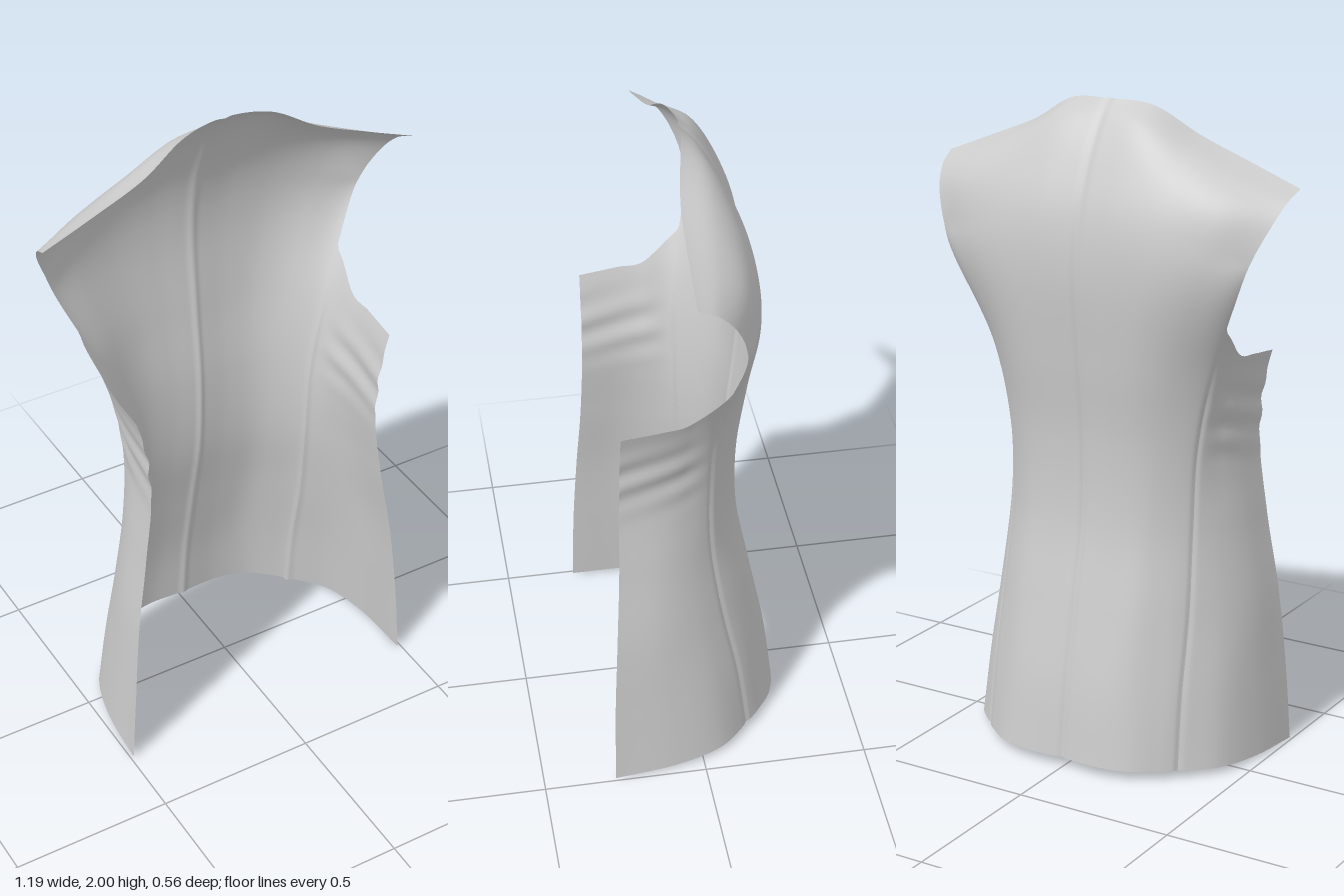
import * as THREE from 'three';

// Half cross-sections (x, z pairs) every 0.25 in height:
// centre back, three back points, side seam, three side panel points
const SECTIONS = [
  [0, -.275, .12, -.278, .22, -.255, .29, -.207, .34, -.16, .43, -.06, .475, .09, .49, .28],
  [0, -.25, .11, -.25, .2, -.23, .28, -.18, .335, -.13, .415, -.03, .455, .1, .472, .275],
  [0, -.203, .11, -.2, .2, -.183, .275, -.135, .33, -.08, .395, .01, .435, .12, .448, .262],
  [0, -.155, .1, -.156, .19, -.14, .26, -.1, .32, -.045, .37, .03, .4, .12, .41, .247],
  [0, -.147, .1, -.15, .19, -.137, .265, -.1, .33, -.04, .362, .04, .378, .12, .385, .24],
  [0, -.17, .11, -.175, .21, -.165, .3, -.125, .385, -.05, .41, .04, .42, .12, .422, .237],
  [0, -.19, .13, -.195, .26, -.188, .38, -.155, .487, -.1, .52, 0, .53, .1, .53, .23],
];
// Shoulder rows (x, y, z) from centre back to armhole, ending in the shoulder seam
const SHOULDER = [
  [0, 1.68, -.172, .14, 1.675, -.18, .28, 1.66, -.173, .41, 1.63, -.145, .525, 1.6, -.095],
  [0, 1.83, -.118, .145, 1.825, -.125, .29, 1.785, -.125, .43, 1.735, -.11, .563, 1.69, -.06],
  [0, 1.94, -.055, .14, 1.935, -.06, .29, 1.87, -.05, .44, 1.805, -.04, .585, 1.752, -.01],
  [0, 2, -.003, .14, 1.988, .02, .28, 1.912, .043, .44, 1.848, .05, .597, 1.787, .052],
];
const ARMHOLE = [[1.38], [1.285], [1.27], [1.255]]; // top of the side panel

const ROWS = SECTIONS.map((s, r) => {
  const row = [];
  for (let i = 0; i < s.length; i += 2) {
    const hem = r === 0 ? .018 - .055 * s[i + 1] : 0; // hem rises slightly to the back
    row.push([s[i], r * .25 + hem, s[i + 1]]);
  }
  return row;
}).concat(SHOULDER.map((s) => {
  const row = [];
  for (let i = 0; i < s.length; i += 3) row.push(s.slice(i, i + 3));
  return row;
}));

// Smooth curve through a list of points, with extrapolated ends
function spline(pts, t, before) {
  const n = pts.length - 1;
  const i = Math.max(0, Math.min(n - 1, Math.floor(t)));
  const f = t - i;
  const b = pts[i], c = pts[i + 1];
  const a = i > 0 ? pts[i - 1] : before || b.map((v, k) => 2 * v - c[k]);
  const d = i + 2 <= n ? pts[i + 2] : c.map((v, k) => 2 * v - b[k]);
  return b.map((v, k) => v + .5 * f * (c[k] - a[k] +
    f * (2 * a[k] - 5 * v + 4 * c[k] - d[k] + f * (3 * (v - c[k]) + d[k] - a[k]))));
}

const bell = (d, w) => Math.exp(-(d * d) / (w * w));

// Point on the garment: u runs across (0 centre, 4 side seam, 7 front edge), t runs up
function surface(u, t, inset = 0) {
  const a = Math.abs(u), side = u < 0 ? -1 : 1;
  const rows = a > 4 ? ROWS.slice(0, SECTIONS.length) : ROWS;
  const p = spline(rows.map((row) => {
    const q = row[1];
    return spline(row, a, [-q[0], q[1], q[2]]);
  }), t);
  // pressed-in centre and side seams
  p[2] += .006 * bell(a, .1);
  const seam = .005 * bell(a - 4, .1) * THREE.MathUtils.smoothstep(5.4 - t, 0, 1) + inset;
  p[0] -= .6 * seam;
  p[2] += .8 * seam;
  // diagonal folds under the arm
  if (a > 4) {
    const fade = THREE.MathUtils.smoothstep(a, 4, 5.2) * bell(p[1] - 1.08, .1);
    p[0] += .005 * fade * Math.sin((p[1] + .3 * p[2] - 1.1) * 60);
  }
  return [p[0] * side, p[1], p[2]];
}

// Grid sheet between u0 and u1, up to a given height parameter
function sheet(name, u0, u1, nu, nt, top, inset) {
  const pos = [], index = [];
  for (let j = 0; j <= nt; j++) {
    for (let i = 0; i <= nu; i++) {
      const u = u0 + (u1 - u0) * i / nu;
      pos.push(...surface(u, top(Math.abs(u)) * j / nt, inset));
      if (i < nu && j < nt) {
        const k = j * (nu + 1) + i, m = k + nu + 1;
        index.push(k, m, k + 1, k + 1, m, m + 1);
      }
    }
  }
  const geo = new THREE.BufferGeometry();
  geo.setAttribute('position', new THREE.Float32BufferAttribute(pos, 3));
  geo.setIndex(index);
  geo.computeVertexNormals();
  const mesh = new THREE.Mesh(geo, new THREE.MeshStandardMaterial({ color: 0xcccccc, side: THREE.DoubleSide }));
  mesh.name = name;
  return mesh;
}

export function createModel() {
  const group = new THREE.Group();
  group.name = 'jacketBack';
  group.add(sheet('backPanel', -4, 4, 160, 80, () => 10));
  const sideTop = (a) => spline(ARMHOLE, a - 4)[0] / .25;
  // side panels and the narrow underlaps of the hem vents
  group.add(sheet('leftSidePanel', 4, 7, 48, 80, sideTop));
  group.add(sheet('rightSidePanel', -7, -4, 48, 80, sideTop));
  const ventTop = (a) => 1.9 - 1.5 * Math.max(0, 3.93 - a);
  group.add(sheet('leftVentUnderlap', 3.85, 4.02, 6, 24, ventTop, .005));
  group.add(sheet('rightVentUnderlap', -4.02, -3.85, 6, 24, ventTop, .005));
  return group;
}
